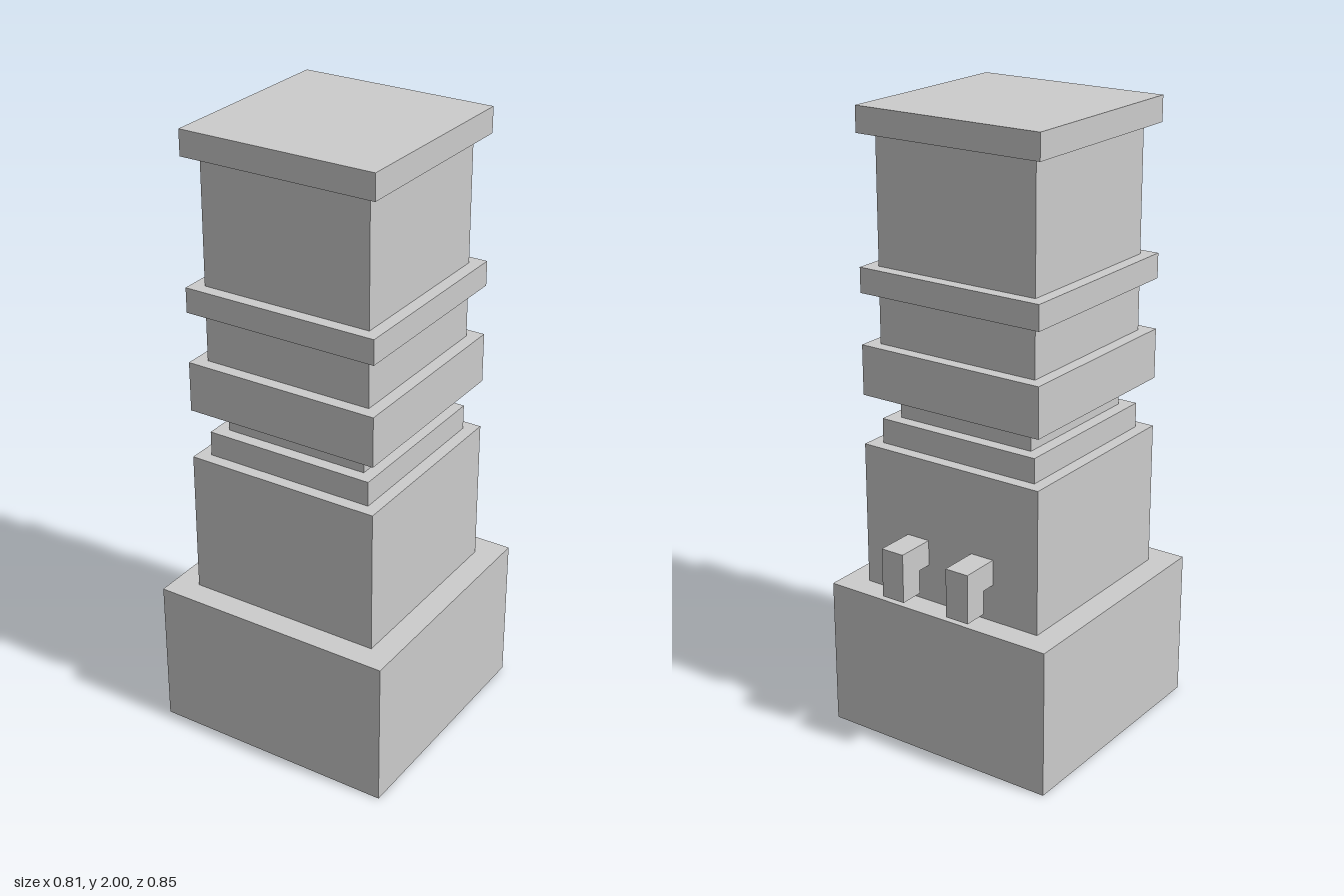
import * as THREE from 'three';

export function createModel() {
  const model = new THREE.Group();
  const material = new THREE.MeshStandardMaterial({ color: 0xcccccc, flatShading: true });
  const bodyZ = 0.024;

  // Stacked square tiers: name, width, bottom, top
  const tiers = [
    ['base', 0.807, 0, 0.484],
    ['lowerBody', 0.645, 0.484, 0.952],
    ['shoulder', 0.565, 0.952, 1.032],
    ['neck', 0.484, 1.032, 1.113],
    ['wideCollar', 0.645, 1.113, 1.274],
    ['middleBody', 0.565, 1.274, 1.437],
    ['thinCollar', 0.645, 1.437, 1.517],
    ['upperBody', 0.565, 1.517, 1.919],
    ['cap', 0.645, 1.919, 2],
  ];
  for (const [name, width, bottom, top] of tiers) {
    const tier = new THREE.Mesh(new THREE.BoxGeometry(width, top - bottom, width), material);
    tier.name = name;
    tier.position.set(0, (bottom + top) / 2, bodyZ);
    model.add(tier);
  }

  // Pair of downward hooks on the back; profile is (distance behind centre, height)
  const profile = new THREE.Shape([
    [0.298, 0.605], [0.347, 0.605], [0.347, 0.528],
    [0.427, 0.528], [0.427, 0.688], [0.298, 0.688],
  ].map(([d, y]) => new THREE.Vector2(d, y)));
  const hookWidth = 0.08;
  const hookGeometry = new THREE.ExtrudeGeometry(profile, { depth: hookWidth, bevelEnabled: false });
  hookGeometry.translate(0, 0, -hookWidth / 2).rotateY(Math.PI / 2);
  for (const side of [-1, 1]) {
    const hook = new THREE.Mesh(hookGeometry, material);
    hook.name = side > 0 ? 'leftHook' : 'rightHook';
    hook.position.x = side * 0.121;
    model.add(hook);
  }
  return model;
}
